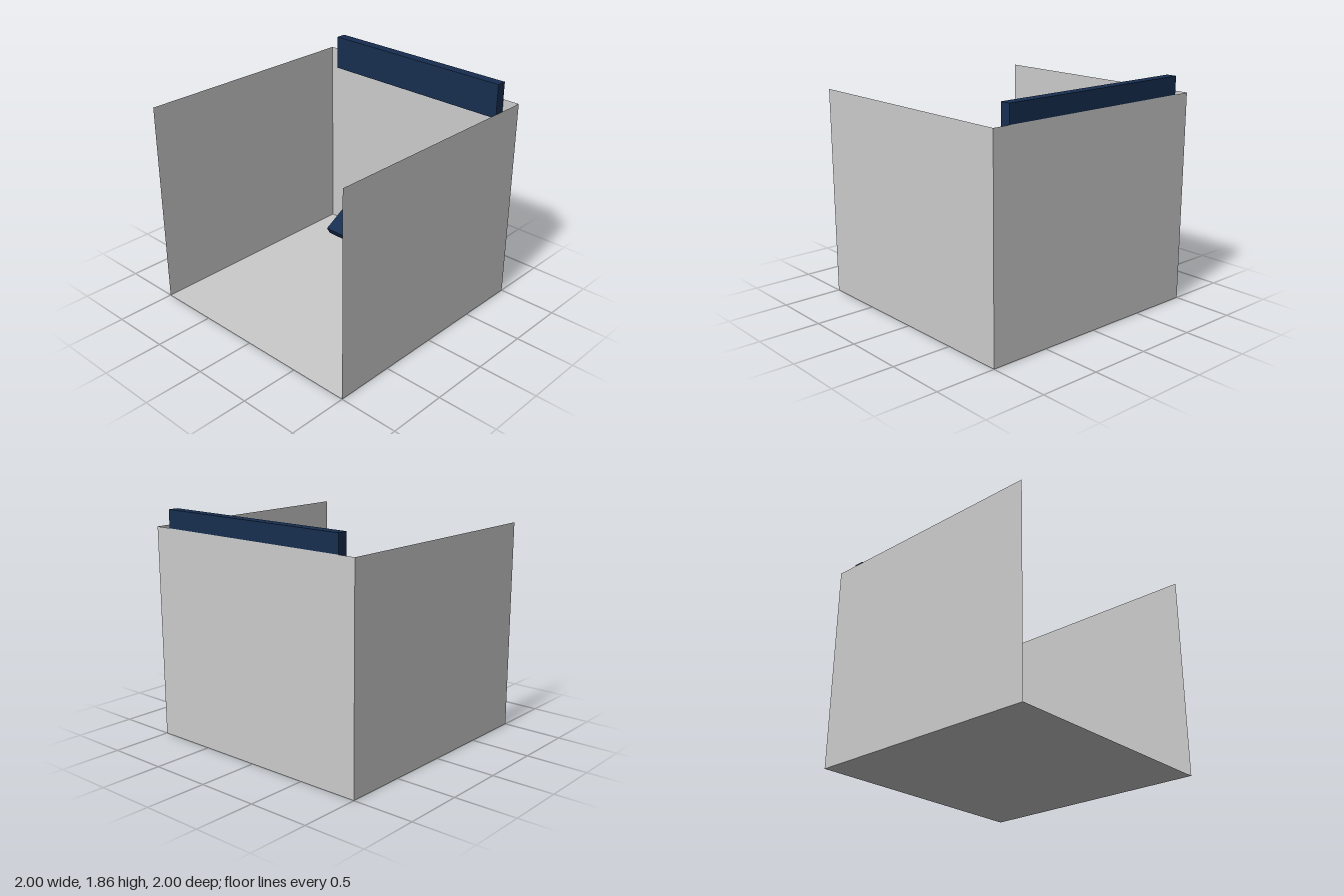
import * as THREE from 'three';

export function createModel() {
  const model = new THREE.Group();
  const grey = new THREE.MeshStandardMaterial({ color: 0xcccccc });
  const sheet = new THREE.MeshStandardMaterial({ color: 0xcccccc, side: THREE.DoubleSide });
  const navy = new THREE.MeshStandardMaterial({ color: 0x172e50 });

  const add = (name, geometry, material, x, y, z) => {
    const mesh = new THREE.Mesh(geometry, material);
    mesh.name = name;
    mesh.position.set(x, y, z);
    model.add(mesh);
    return mesh;
  };

  const size = 2, wallHeight = 1.714;

  // Booth shell: thin floor and three walls, open at the front and top
  add('floor', new THREE.PlaneGeometry(size, size), sheet, 0, 0, 0).rotation.x = -Math.PI / 2;
  const wall = new THREE.PlaneGeometry(size, wallHeight);
  add('backWall', wall, sheet, 0, wallHeight / 2, -1);
  for (const [name, side] of [['leftWall', 1], ['rightWall', -1]]) {
    add(name, wall, sheet, side, wallHeight / 2, 0).rotation.y = -side * Math.PI / 2;
  }

  // Sign board along the top of the back wall
  add('signBoard', new THREE.BoxGeometry(1.714, 0.286, 0.085), navy, 0, 1.717, -0.9565);

  // Pedestal, its top hidden inside the sloping desk panel
  const postHeight = 0.37;
  add('deskPost', new THREE.CylinderGeometry(0.057, 0.057, postHeight, 32), grey,
    0, postHeight / 2 + 0.001, -0.468);

  // Desk panel sloping down towards the front
  add('deskPanel', new THREE.BoxGeometry(0.857, 0.0714, 0.2857), navy, 0, 0.373, -0.468)
    .rotation.x = Math.PI / 6;

  return model;
}
